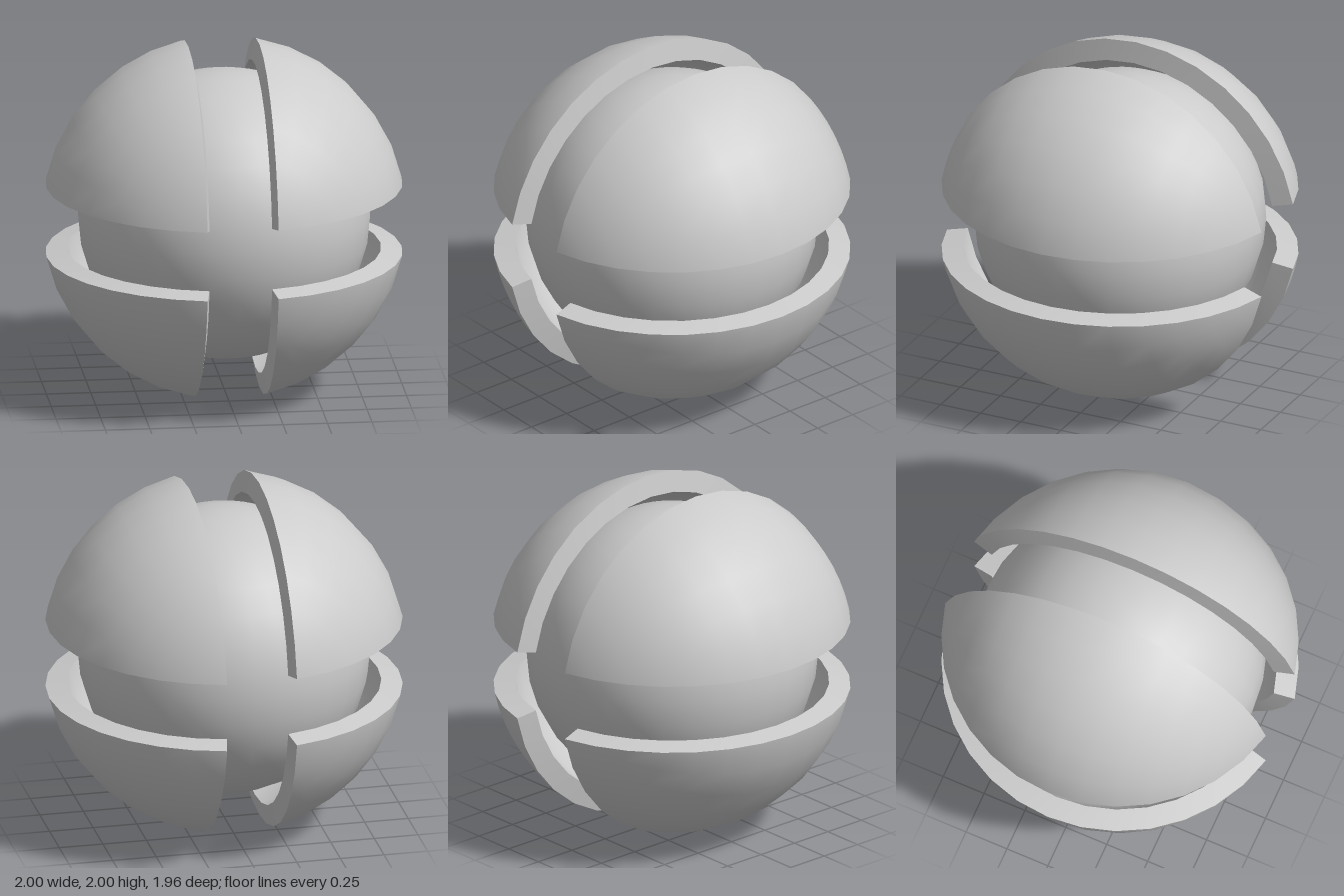
import * as THREE from 'three';
import { mergeGeometries } from 'three/addons/utils/BufferGeometryUtils.js';

const GAP = 0.2;                                  // half width of the slots
const R = Math.sqrt(1 + GAP * GAP);               // outer shell radius
const INNER = 0.88;                               // inner shell as a fraction of the outer
const SWEEP = Math.asin(Math.sqrt(1 - GAP * GAP)); // tip-to-tip half angle

// Grid surface from point(u, v); sphereSign gives exact radial normals
function sheet(point, nu, nv, sphereSign = 0) {
  const positions = [], index = [];
  for (let i = 0; i <= nu; i++)
    for (let j = 0; j <= nv; j++) positions.push(...point(i / nu, j / nv).toArray());
  for (let i = 0; i < nu; i++)
    for (let j = 0; j < nv; j++) {
      const a = i * (nv + 1) + j, b = a + nv + 1;
      index.push(a, a + 1, b, b, a + 1, b + 1);
    }
  const geometry = new THREE.BufferGeometry();
  geometry.setAttribute('position', new THREE.Float32BufferAttribute(positions, 3));
  geometry.setIndex(index);
  geometry.computeVertexNormals();
  if (sphereSign) {
    const p = new THREE.Vector3();
    for (let i = 0; i < positions.length / 3; i++) {
      p.fromArray(positions, i * 3).normalize().multiplyScalar(sphereSign);
      geometry.attributes.normal.setXYZ(i, p.x, p.y, p.z);
    }
  }
  return geometry;
}

// Point on one quarter shell: u runs tip to tip along z, v from side rim to top rim
function shellPoint(u, v, scale) {
  const z = Math.sin((2 * u - 1) * SWEEP);
  const rho = Math.sqrt(R * R - z * z);
  const start = Math.asin(Math.min(1, GAP / rho));
  const end = Math.acos(Math.min(1, GAP / rho));
  const angle = start + (end - start) * v;
  return new THREE.Vector3(rho * Math.cos(angle), rho * Math.sin(angle), z).multiplyScalar(scale);
}

function quarterShell() {
  const thick = (t) => INNER + (1 - INNER) * t;
  return mergeGeometries([
    sheet((u, v) => shellPoint(u, v, 1), 14, 6, 1),              // outside
    sheet((u, v) => shellPoint(1 - u, v, INNER), 14, 6, -1),     // inside
    sheet((u, v) => shellPoint(u, 0, thick(v)), 14, 1),          // horizontal rim
    sheet((u, v) => shellPoint(u, 1, thick(1 - v)), 14, 1),      // vertical rim
  ]);
}

export function createModel() {
  const group = new THREE.Group();
  group.name = 'splitSphere';
  const material = new THREE.MeshStandardMaterial({ color: 0xcccccc });

  // Inner ball
  const core = new THREE.Mesh(new THREE.SphereGeometry(0.82, 32, 16), material);
  core.name = 'innerBall';
  core.position.y = 1.025;
  group.add(core);

  // Four quarter shells around the z axis
  const geometry = quarterShell();
  ['upperLeftShell', 'upperRightShell', 'lowerRightShell', 'lowerLeftShell'].forEach((name, i) => {
    const shell = new THREE.Mesh(geometry, material);
    shell.name = name;
    shell.position.y = 1;
    shell.rotation.z = (i * Math.PI) / 2;
    group.add(shell);
  });
  return group;
}
